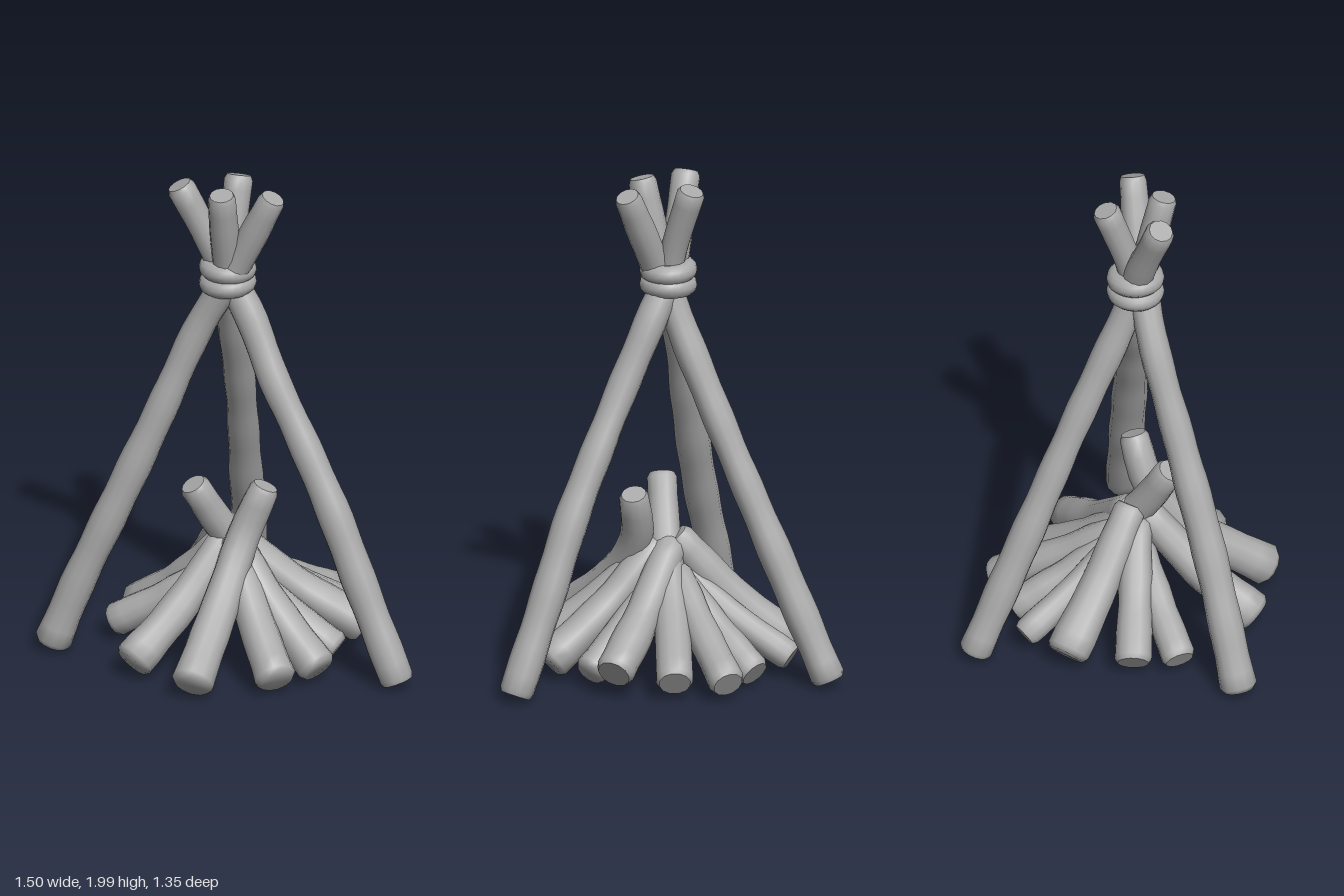
import * as THREE from 'three';
import { mergeVertices, toCreasedNormals } from 'three/addons/utils/BufferGeometryUtils.js';

const wood = new THREE.MeshStandardMaterial({ color: 0xaaaaaa });
wood.name = 'wood grey';

// Closed round timber along a path: tapered, slightly knotty, with bevelled ends
function timber(name, points, r0, r1, knots = 0, seed = 0) {
  const curve = new THREE.CatmullRomCurve3(points.map(p => new THREE.Vector3(...p)), false, 'centripetal');
  const length = curve.getLength();
  const segs = Math.max(14, Math.round(length * 18)), sides = 12;
  const geo = new THREE.TubeGeometry(curve, segs, 1, sides);
  const pos = geo.attributes.position, nor = geo.attributes.normal;
  const bevel = 0.02 / length;
  for (let i = 0; i <= segs; i++) {
    const e = Math.min(i, segs - i);
    let u = (i - 2) / (segs - 4) * (1 - 2 * bevel) + bevel;
    if (e < 2) u = i < 2 ? 0 : 1;
    const p = curve.getPointAt(u);
    const wave = Math.sin(u * 31 + seed * 2.1) * Math.sin(u * 17 + seed);
    const scale = e === 0 ? 0 : e === 1 ? 0.82 : 1 + knots * wave;
    const r = (r0 + (r1 - r0) * u) * scale;
    for (let j = 0; j <= sides; j++) {
      const k = i * (sides + 1) + j;
      pos.setXYZ(k, p.x + nor.getX(k) * r, p.y + nor.getY(k) * r, p.z + nor.getZ(k) * r);
    }
  }
  geo.deleteAttribute('uv');
  geo.deleteAttribute('normal');
  const mesh = new THREE.Mesh(toCreasedNormals(mergeVertices(geo, 1e-4), 1.0), wood);
  mesh.name = name;
  return mesh;
}

export function createModel() {
  const model = new THREE.Group();
  model.name = 'campfireTripod';

  // Three long poles crossing inside the lashing
  const poles = new THREE.Group();
  poles.name = 'tripodPoles';
  poles.add(
    timber('rightPole', [[-0.685, 0.03, 0.155], [-0.58, 0.3, 0.15], [-0.47, 0.55, 0.148], [-0.28, 0.98, 0.125],
      [-0.11, 1.38, 0.1], [0.01, 1.6, 0.12], [0.185, 1.97, 0.18]], 0.072, 0.056, 0.06, 1),
    timber('leftPole', [[0.695, 0.035, 0.435], [0.54, 0.42, 0.36], [0.43, 0.7, 0.31], [0.29, 1.0, 0.24],
      [0.19, 1.2, 0.19], [0.09, 1.44, 0.12], [-0.01, 1.62, 0.08], [-0.19, 1.975, 0.09]], 0.072, 0.058, 0.06, 2),
    timber('backPole', [[0.04, 0.035, -0.62], [0.035, 0.5, -0.4], [0.03, 1.0, -0.165], [0.01, 1.45, 0.045],
      [0.0, 1.62, 0.11], [-0.015, 1.985, 0.205]], 0.068, 0.057, 0.06, 3),
    // Short fourth tip above the lashing
    timber('shortPoleTip', [[0.0, 1.52, 0.09], [0.01, 1.7, 0.06], [0.035, 1.975, -0.03]], 0.05, 0.057)
  );
  model.add(poles);

  // Two thick rope turns around the crossing
  const lashing = new THREE.Group();
  lashing.name = 'lashing';
  for (const [y, tilt] of [[1.567, 0.05], [1.628, -0.05]]) {
    const ring = new THREE.Mesh(new THREE.TorusGeometry(0.074, 0.04, 12, 24), wood);
    ring.name = 'ropeTurn';
    ring.rotation.set(Math.PI / 2, tilt, 0);
    ring.position.set(0, y, 0.085);
    lashing.add(ring);
  }
  model.add(lashing);

  // Fire logs
  const logs = new THREE.Group();
  logs.name = 'fireLogs';

  // Two bent logs that cross and rise above the pile
  logs.add(
    timber('crossingLog', [[-0.1, 0.075, 0.63], [0.0, 0.32, 0.33], [0.07, 0.53, 0.19], [0.155, 0.735, 0.165]],
      0.085, 0.06, 0.03, 1),
    timber('crossingLog', [[0.465, 0.09, -0.145], [0.17, 0.3, 0.0], [0.0, 0.5, 0.1], [-0.13, 0.735, 0.17]],
      0.076, 0.06, 0.03, 2)
  );

  // Others: outer end, inner end, outer and inner radius
  const tall = [
    [[0.23, 0.075, 0.56], [0.02, 0.49, 0.13], 0.082, 0.062],
    [[0.385, 0.075, 0.43], [0.02, 0.5, 0.12], 0.08, 0.06],
    [[0.535, 0.12, 0.085], [0.0, 0.5, 0.07], 0.08, 0.065],
    [[-0.2, 0.075, -0.345], [-0.01, 0.53, 0.06], 0.09, 0.065],
    [[-0.385, 0.08, -0.15], [-0.02, 0.46, 0.08], 0.075, 0.06],
    [[-0.35, 0.075, 0.425], [-0.01, 0.48, 0.12], 0.082, 0.064]
  ];
  const low = [
    [[0.44, 0.075, 0.23], [0.05, 0.37, 0.11], 0.068, 0.058],
    [[0.38, 0.085, -0.335], [0.03, 0.4, 0.04], 0.072, 0.058],
    [[0.175, 0.07, -0.36], [0.02, 0.38, 0.04], 0.07, 0.058],
    [[-0.02, 0.085, -0.43], [0.0, 0.38, 0.02], 0.06, 0.052],
    [[-0.455, 0.075, 0.02], [-0.03, 0.36, 0.08], 0.068, 0.058]
  ];
  const addLog = (name, sag) => ([a, b, r0, r1], i) => {
    const mid = a.map((v, k) => (v + b[k]) / 2 - (k === 1 ? sag : 0));
    logs.add(timber(name, [a, mid, b], r0, r1, 0.04, i));
  };
  tall.forEach(addLog('leaningLog', 0.03));
  low.forEach(addLog('lowLog', 0.015));
  model.add(logs);

  return model;
}
